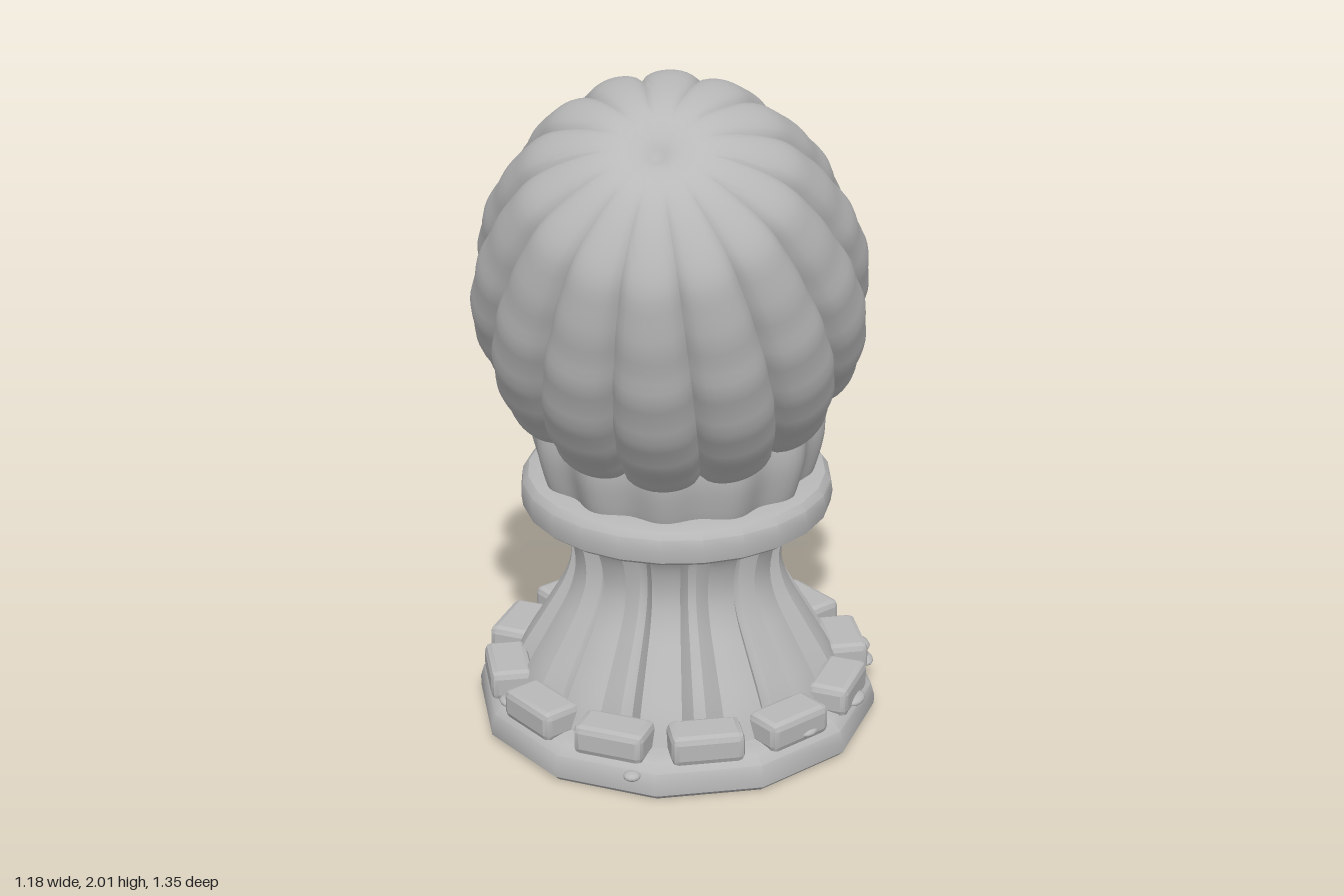
import * as THREE from 'three';
import { toCreasedNormals } from 'three/addons/utils/BufferGeometryUtils.js';
import { RoundedBoxGeometry } from 'three/addons/geometries/RoundedBoxGeometry.js';

const stone = new THREE.MeshStandardMaterial({ color: 0xb8b8b8 });
stone.name = 'grey stone';

// Smooth a short [radius, height] profile
function smooth(points, count) {
  const curve = new THREE.CatmullRomCurve3(points.map(([r, y]) => new THREE.Vector3(r, y, 0)), false, 'centripetal');
  return curve.getPoints(count).map((p) => new THREE.Vector2(Math.max(p.x, 0), p.y));
}

// Turned surface whose radius varies across each of n ribs; u runs from -1 to 1 across a rib
function ribbed(profile, n, perRib, shape, crease) {
  const seg = n * perRib, pos = [], idx = [];
  profile.forEach((p) => {
    for (let j = 0; j <= seg; j++) {
      const a = ((j - perRib / 2) / seg) * Math.PI * 2;
      const u = ((j % perRib) / perRib) * 2 - 1;
      const r = p.x * shape(u, p.y);
      pos.push(r * Math.sin(a), p.y, r * Math.cos(a));
    }
  });
  for (let i = 0; i < profile.length - 1; i++) {
    for (let j = 0; j < seg; j++) {
      const a = i * (seg + 1) + j, c = a + seg + 1;
      idx.push(a, a + 1, c, a + 1, c + 1, c);
    }
  }
  const g = new THREE.BufferGeometry();
  g.setAttribute('position', new THREE.Float32BufferAttribute(pos, 3));
  g.setIndex(idx);
  return toCreasedNormals(g, crease);
}

function lathe(points, segments, crease = 0.6) {
  return toCreasedNormals(new THREE.LatheGeometry(points.map(([r, y]) => new THREE.Vector2(r, y)), segments), crease);
}

function add(parent, name, geometry, x = 0, y = 0, z = 0) {
  const mesh = new THREE.Mesh(geometry, stone);
  mesh.name = name;
  mesh.position.set(x, y, z);
  parent.add(mesh);
  return mesh;
}

export function createModel() {
  const model = new THREE.Group();
  model.name = 'ribbedFinial';

  // Pedestal, set slightly behind the centre
  const pedestal = new THREE.Group();
  pedestal.name = 'pedestal';
  pedestal.position.z = -0.085;
  model.add(pedestal);

  // Twelve-sided foot
  add(pedestal, 'foot', lathe([[0, 0], [0.575, 0], [0.59, 0.015], [0.59, 0.045], [0.58, 0.08], [0.555, 0.105], [0.52, 0.113], [0, 0.113]], 12));

  // Ring of chamfered blocks on the foot
  const blockGeo = toCreasedNormals(new RoundedBoxGeometry(0.21, 0.09, 0.125, 1, 0.02), 0.3);
  for (let i = 0; i < 12; i++) {
    const a = ((i + 0.5) / 12) * Math.PI * 2;
    add(pedestal, 'footBlock', blockGeo, Math.sin(a) * 0.5, 0.14, Math.cos(a) * 0.5).rotation.y = a;
  }

  // Waisted column with twelve raised ribs
  const columnProfile = smooth([[0.49, 0.11], [0.455, 0.19], [0.385, 0.31], [0.325, 0.42], [0.307, 0.5], [0.322, 0.59], [0.36, 0.66], [0.365, 0.7]], 28);
  const columnShape = (u) => 1 - 0.12 * THREE.MathUtils.smoothstep(Math.abs(u), 0.5, 0.8) - 0.02 * u * u;
  add(pedestal, 'flutedColumn', ribbed(columnProfile, 12, 12, columnShape, 0.6));

  // Collar
  add(pedestal, 'collar', lathe([[0.3, 0.662], [0.43, 0.662], [0.447, 0.675], [0.452, 0.71], [0.447, 0.745], [0.43, 0.765], [0.4, 0.772], [0.3, 0.772]], 24));

  // Lobed cup with a flat top
  const cupProfile = smooth([[0.385, 0.74], [0.405, 0.8], [0.425, 0.89], [0.423, 0.97], [0.4, 1.05], [0.355, 1.105], [0.3, 1.12], [0.15, 1.121], [0, 1.121]], 36);
  const cupShape = (u, y) => 1 - 0.035 * (1 - Math.cos(Math.PI * u)) * (y > 1.1 ? 0.6 : 1);
  add(pedestal, 'lobedCup', ribbed(cupProfile, 12, 10, cupShape, 0.9));

  // Tilted dome
  const dome = new THREE.Group();
  dome.name = 'dome';
  dome.position.set(0, 1.165, -0.07);
  dome.rotation.x = THREE.MathUtils.degToRad(35);
  model.add(dome);

  const domeProfile = smooth([[0.28, 0.06], [0.38, 0.045], [0.43, 0.0], [0.475, -0.012], [0.51, 0.03], [0.535, 0.12],
    [0.55, 0.28], [0.515, 0.47], [0.458, 0.61], [0.37, 0.76], [0.25, 0.85], [0.13, 0.893], [0.05, 0.888], [0, 0.865]], 64);
  const domeShape = (u, y) => (1 - 0.12 * (1 - Math.sqrt(1 - 0.95 * u * u))) * (1 + 0.006 * Math.sin(y * 42));
  add(dome, 'domeRibs', ribbed(domeProfile, 14, 12, domeShape, 0.65));

  // Rounded core joining the dome to the cup
  add(dome, 'domeCore', new THREE.SphereGeometry(0.29, 40, 24), 0, 0.12, 0.01);
  add(dome, 'domeUnderside', lathe([[0, 0.05], [0.4, 0.05]], 48));

  // Beads inside the rim
  const beadGeo = new THREE.SphereGeometry(0.07, 18, 12);
  for (let i = 0; i < 14; i++) {
    const a = (i / 14) * Math.PI * 2;
    add(dome, 'rimBead', beadGeo, Math.sin(a) * 0.385, 0.005, Math.cos(a) * 0.385);
  }

  // Small pebbles lying on the foot
  const pebbleGeo = new THREE.SphereGeometry(1, 12, 8);
  const pebbles = [[-0.07, 0.07, 0.49], [0.41, 0.12, 0.28], [-0.46, 0.13, 0.21], [0.54, 0.115, 0.07], [0.545, 0.16, -0.18], [0.555, 0.08, -0.24]];
  pebbles.forEach(([x, y, z], i) => {
    const pebble = add(model, 'pebble', pebbleGeo, x, y, z);
    pebble.scale.set(i % 3 ? 0.035 : 0.025, 0.013, 0.025);
    pebble.rotation.y = Math.atan2(x, z + 0.085);
    if (i > 2) pebble.scale.x = 0.045;
  });

  return model;
}
